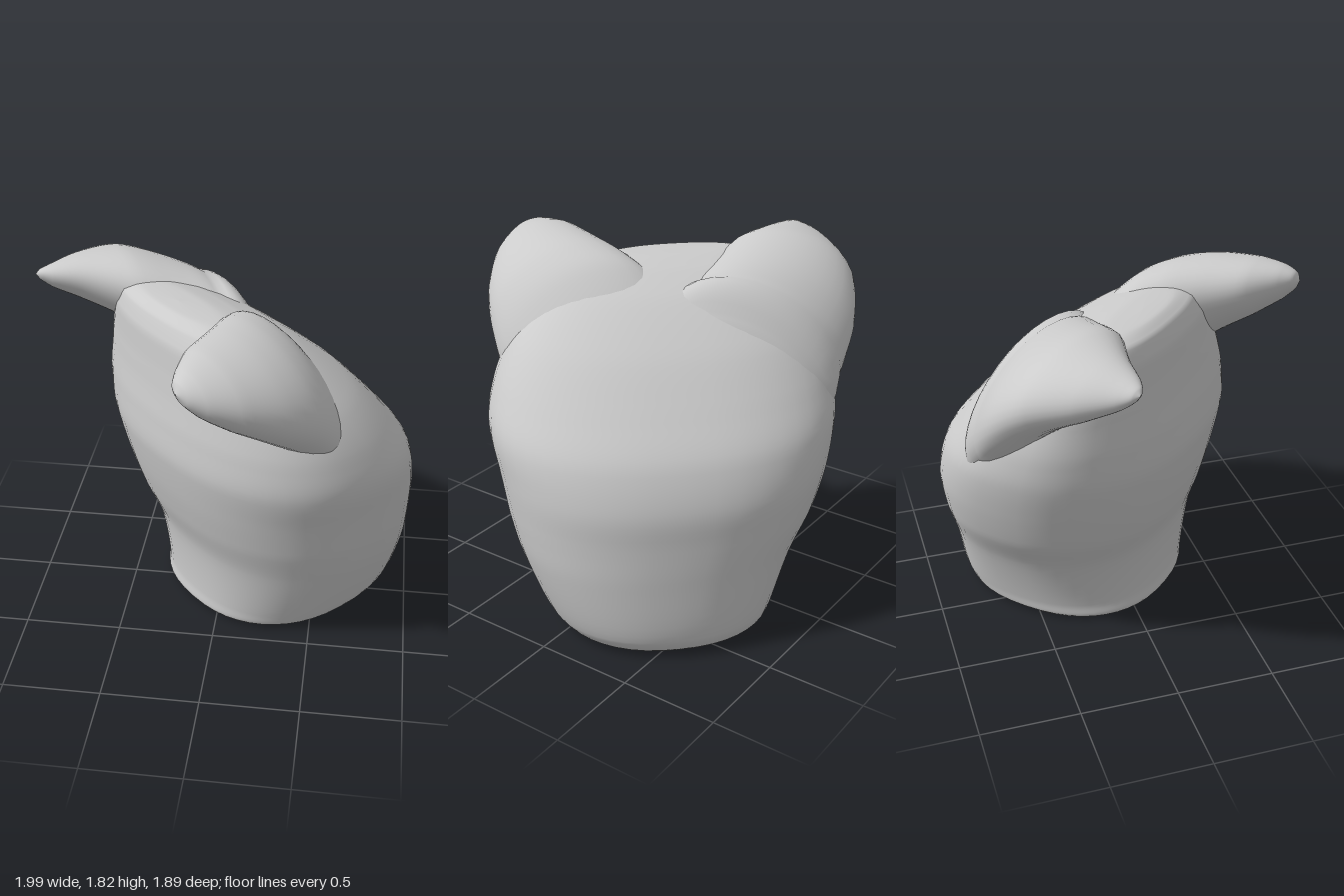
import * as THREE from 'three';

const material = new THREE.MeshStandardMaterial({ color: 0xcccccc });
const UP = new THREE.Vector3(0, 1, 0);

// Smooth closed skin over rounded sections [x, y, z, radiusA, radiusB];
// a x b points from the first section to the last, power 1 gives ellipses,
// a smaller power gives squarer sections.
function loft(name, rows, a, b, power, sides = 48, steps = 6) {
  const centres = new THREE.CatmullRomCurve3(rows.map(r => new THREE.Vector3(r[0], r[1], r[2])));
  const radii = new THREE.CatmullRomCurve3(rows.map(r => new THREE.Vector3(r[3], r[4], 0)));
  const rings = (rows.length - 1) * steps;
  const bend = s => Math.sign(s) * Math.abs(s) ** power;
  const positions = [], index = [];
  for (let i = 0; i <= rings; i++) {
    const c = centres.getPoint(i / rings), r = radii.getPoint(i / rings);
    for (let j = 0; j < sides; j++) {
      const t = (j / sides) * Math.PI * 2;
      const p = c.clone()
        .addScaledVector(a, Math.max(r.x, 0.001) * bend(Math.cos(t)))
        .addScaledVector(b, Math.max(r.y, 0.001) * bend(Math.sin(t)));
      positions.push(p.x, Math.max(p.y, 0), p.z);
      if (i < rings) {
        const k = (j + 1) % sides, n = i * sides, m = n + sides;
        index.push(n + j, n + k, m + k, n + j, m + k, m + j);
      }
    }
  }
  const geometry = new THREE.BufferGeometry();
  geometry.setAttribute('position', new THREE.Float32BufferAttribute(positions, 3));
  geometry.setIndex(index);
  geometry.computeVertexNormals();
  const mesh = new THREE.Mesh(geometry, material);
  mesh.name = name;
  return mesh;
}

// Arm: sections across a horizontal heading, from shoulder to tip;
// tilt leans the crest sideways
function arm(name, rows, heading, tilt) {
  const across = new THREE.Vector3().crossVectors(UP, heading.normalize());
  return loft(name, rows, across, UP.clone().addScaledVector(across, tilt), 1, 36);
}

export function createModel() {
  const group = new THREE.Group();
  group.name = 'figure';

  // Body faces diagonally and leans forward to a narrow crown
  const forward = new THREE.Vector3(-1, 0, 1).normalize();
  const sideways = new THREE.Vector3(1, 0, 1).normalize();
  group.add(loft('body', [
    [0.25, 0, -0.18, 0.001, 0.001],
    [0.25, 0, -0.18, 0.53, 0.51],
    [0.26, 0.03, -0.18, 0.57, 0.56],
    [0.285, 0.1, -0.185, 0.585, 0.59],
    [0.285, 0.4, -0.175, 0.6, 0.7],
    [0.24, 0.6, -0.17, 0.63, 0.78],
    [0.205, 0.8, -0.16, 0.65, 0.83],
    [0.16, 1.0, -0.125, 0.63, 0.87],
    [0.09, 1.2, -0.085, 0.54, 0.85],
    [0.015, 1.4, -0.045, 0.43, 0.77],
    [-0.1, 1.6, 0.01, 0.29, 0.62],
    [-0.18, 1.69, 0.03, 0.18, 0.48],
    [-0.21, 1.725, 0.045, 0.09, 0.28],
    [-0.22, 1.73, 0.05, 0.001, 0.001],
  ], forward, sideways, 0.87));

  // Tapered arms rising out of the shoulders to either side of the crown
  group.add(arm('rightArm', [
    [0.14, 1.05, -0.46, 0.001, 0.001],
    [0.08, 1.13, -0.46, 0.36, 0.28],
    [0.0, 1.21, -0.46, 0.4, 0.34],
    [-0.18, 1.34, -0.46, 0.4, 0.34],
    [-0.38, 1.47, -0.45, 0.38, 0.28],
    [-0.59, 1.595, -0.4, 0.32, 0.21],
    [-0.8, 1.655, -0.325, 0.18, 0.13],
    [-0.93, 1.685, -0.245, 0.08, 0.065],
    [-0.98, 1.7, -0.22, 0.035, 0.03],
    [-1.0, 1.705, -0.21, 0.001, 0.001],
  ], new THREE.Vector3(-0.88, 0, 0.47), 0.4));

  group.add(arm('leftArm', [
    [0.38, 1.02, -0.08, 0.001, 0.001],
    [0.38, 1.11, -0.02, 0.36, 0.26],
    [0.36, 1.22, 0.06, 0.4, 0.32],
    [0.31, 1.37, 0.23, 0.4, 0.34],
    [0.25, 1.5, 0.41, 0.36, 0.29],
    [0.17, 1.58, 0.58, 0.3, 0.235],
    [0.05, 1.65, 0.75, 0.22, 0.165],
    [-0.03, 1.69, 0.86, 0.125, 0.1],
    [-0.075, 1.71, 0.905, 0.06, 0.05],
    [-0.095, 1.715, 0.92, 0.001, 0.001],
  ], new THREE.Vector3(-0.68, 0, 0.73), -0.4));

  return group;
}
